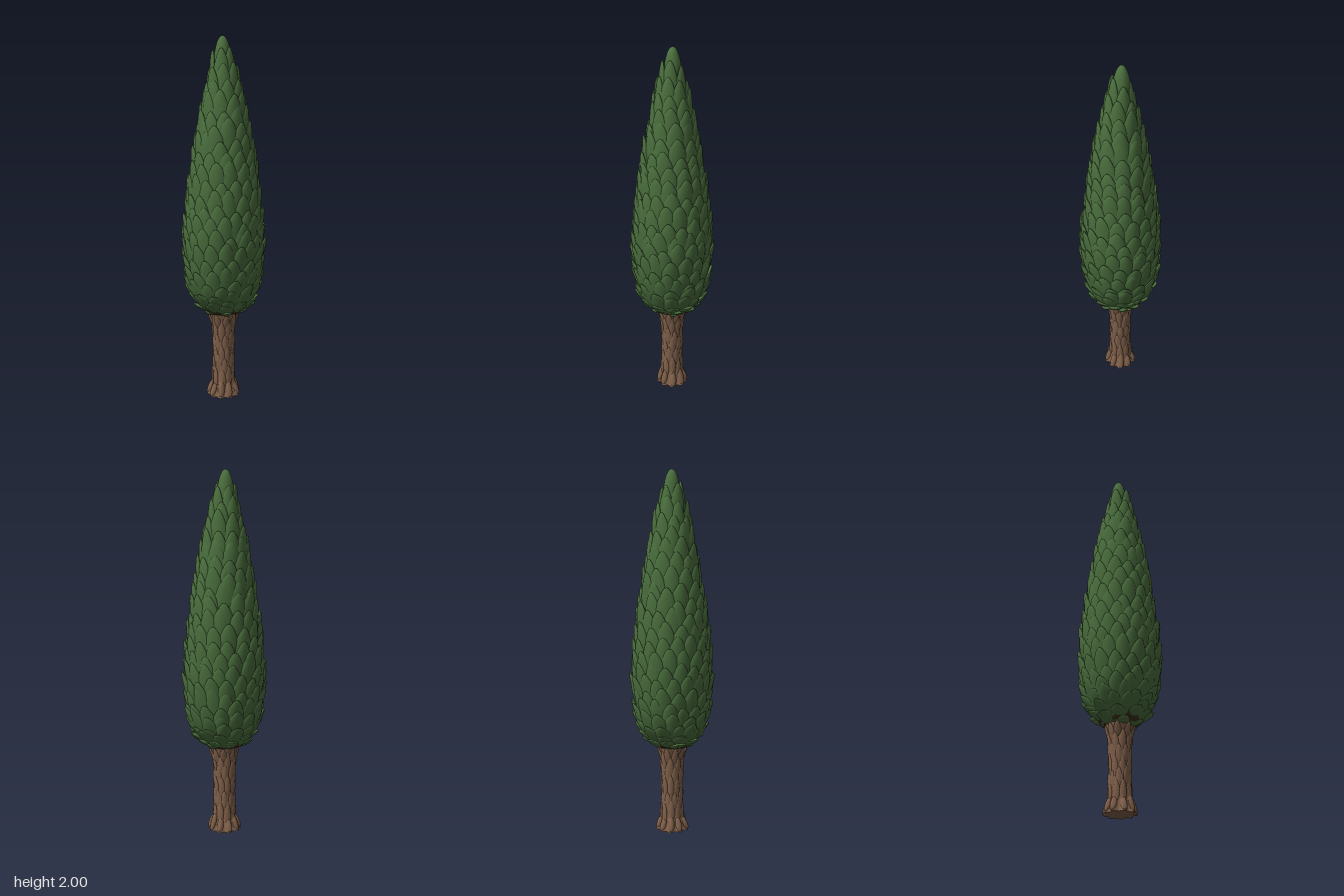
import * as THREE from 'three';
import { mergeGeometries } from 'three/addons/utils/BufferGeometryUtils.js';

// seeded random numbers
let seed = 7;
const rand = () => (seed = (seed * 16807) % 2147483647) / 2147483647;
const jitter = (a) => (rand() - 0.5) * 2 * a;

// a flattened scale with a narrowing tip, unit half-sizes, tip along +y, face along +z
function scaleShape(wSeg, hSeg, taper, wrap) {
  const g = new THREE.SphereGeometry(1, wSeg, hSeg);
  const p = g.attributes.position;
  for (let i = 0; i < p.count; i++) {
    const y = p.getY(i);
    p.setX(i, p.getX(i) * (1 - taper * y));
    p.setZ(i, p.getZ(i) - wrap * p.getX(i) ** 2); // wraps around the tree
  }
  g.computeVertexNormals();
  return g;
}

// lays a scale from base to tip, both given as (radius, height), at one angle
function placeScale(shape, base, tip, angle, width, thick) {
  const dir = new THREE.Vector2().subVectors(tip, base);
  const g = shape.clone();
  g.scale(width, dir.length() / 2, thick);
  g.rotateX(Math.atan2(dir.x, dir.y));
  g.translate(0, (base.y + tip.y) / 2, (base.x + tip.x) / 2);
  g.rotateY(angle);
  return g;
}

export function createModel() {
  const tree = new THREE.Group();
  const leafGreen = new THREE.MeshStandardMaterial({ name: 'leafGreen', color: 0x4b6f3e });
  const innerBrown = new THREE.MeshStandardMaterial({ name: 'innerBrown', color: 0x3d3018 });
  const barkBrown = new THREE.MeshStandardMaterial({ name: 'barkBrown', color: 0x80604a });
  const add = (name, geometry, material) => {
    const mesh = new THREE.Mesh(geometry, material);
    mesh.name = name;
    tree.add(mesh);
  };

  // outline of the crown as (radius, height)
  const outline = new THREE.SplineCurve([
    [0.05, 0.47], [0.11, 0.474], [0.152, 0.503], [0.182, 0.56], [0.2, 0.65], [0.212, 0.75], [0.218, 0.88],
    [0.21, 1.0], [0.187, 1.2], [0.158, 1.4], [0.122, 1.6], [0.079, 1.8], [0.05, 1.91], [0.038, 1.94],
  ].map(([r, y]) => new THREE.Vector2(r, y)));
  const length = outline.getLength();
  const at = (s) => outline.getPointAt(THREE.MathUtils.clamp(s / length, 0, 1));

  // shaded inner body of the crown
  const core = outline.getSpacedPoints(36).map((p) => new THREE.Vector2(Math.max(p.x - 0.028, 0.001), p.y + 0.005));
  core.unshift(new THREE.Vector2(0.001, 0.476));
  core.push(new THREE.Vector2(0.0005, 1.95));
  add('crownCore', new THREE.LatheGeometry(core, 32), innerBrown);

  // overlapping rows of leaf scales, tips standing off the crown, with shaded backs
  const leaf = scaleShape(12, 12, 0.32, 0.8);
  const back = scaleShape(8, 6, 0.32, 0.8);
  const leaves = [];
  const backs = [];
  const rows = 21;
  for (let k = 0; k <= rows; k++) {
    const s = 0.085 + (length - 0.1) * (k / rows) ** 1.12;
    const size = Math.min(0.1 + 0.3 * s, 0.23);
    const girth = at(s - size * 0.4).x;
    const count = Math.max(5, Math.round((Math.PI * 2 * girth) / 0.082));
    const lift = 0.03 * Math.max(0, 1 - s / 0.3); // lowest tips curl upwards
    for (let i = 0; i < count; i++) {
      const t = s + jitter(0.026);
      const tip = at(t);
      const base = at(t - size);
      tip.x += 0.045 * girth + 0.003 + jitter(0.006);
      tip.y += lift;
      base.x -= 0.034;
      base.y += 0.005;
      const angle = ((i + (k % 2) / 2 + jitter(0.12)) / count) * Math.PI * 2;
      const width = Math.min(0.056, 0.028 + girth * 0.2);
      leaves.push(placeScale(leaf, base, tip, angle, width, 0.015));
      const inset = new THREE.Vector2(-0.005, 0);
      const backBase = base.clone().lerp(tip, 0.15).add(inset);
      const backTip = base.clone().lerp(tip, 0.88).add(inset);
      backs.push(placeScale(back, backBase, backTip, angle, width * 0.75, 0.012));
    }
  }
  add('leafScales', mergeGeometries(leaves), leafGreen);
  add('leafBacks', mergeGeometries(backs), innerBrown);

  // pointed top
  const top = new THREE.SphereGeometry(1, 16, 14);
  top.scale(0.047, 0.15, 0.047);
  top.translate(-0.008, 1.85, 0);
  add('crownTip', top, leafGreen);

  // trunk, fluted and flared towards the roots
  const trunkRadius = (y) => 0.056 + 0.026 * Math.exp(-y / 0.05) + 0.016 * Math.exp((y - 0.48) / 0.07);
  const trunk = new THREE.CylinderGeometry(1, 1, 0.49, 54, 20);
  trunk.translate(0, 0.245, 0);
  const p = trunk.attributes.position;
  for (let i = 0; i < p.count; i++) {
    const x = p.getX(i), y = p.getY(i), z = p.getZ(i);
    const a = Math.atan2(x, z);
    const flute = 0.004 + 0.007 * Math.exp(-y / 0.05);
    const r = trunkRadius(y) + flute * Math.cos(9 * a + 3 * y);
    p.setX(i, x * r);
    p.setZ(i, z * r);
  }
  trunk.computeVertexNormals();
  add('trunk', trunk, barkBrown);

  // long bark plates over the trunk
  const plate = scaleShape(8, 8, 0.15, 0.5);
  const bark = [];
  for (let k = 0; k < 6; k++) {
    for (let i = 0; i < 9; i++) {
      const y = 0.05 + k * 0.068 + jitter(0.015);
      const base = new THREE.Vector2(trunkRadius(y) - 0.005, y);
      const tip = new THREE.Vector2(trunkRadius(y + 0.12) + 0.002, Math.min(y + 0.12, 0.48));
      const angle = ((i + (k % 2) / 2 + jitter(0.15)) / 9) * Math.PI * 2;
      bark.push(placeScale(plate, base, tip, angle, 0.02, 0.007));
    }
  }
  add('barkPlates', mergeGeometries(bark), barkBrown);

  // root knuckles around the foot
  const roots = [];
  for (let i = 0; i < 9; i++) {
    const base = new THREE.Vector2(0.088 + jitter(0.004), 0.004);
    const tip = new THREE.Vector2(0.056, 0.09 + jitter(0.02));
    roots.push(placeScale(plate, base, tip, ((i + jitter(0.12)) / 9) * Math.PI * 2, 0.019, 0.013));
  }
  add('roots', mergeGeometries(roots), barkBrown);

  return tree;
}
